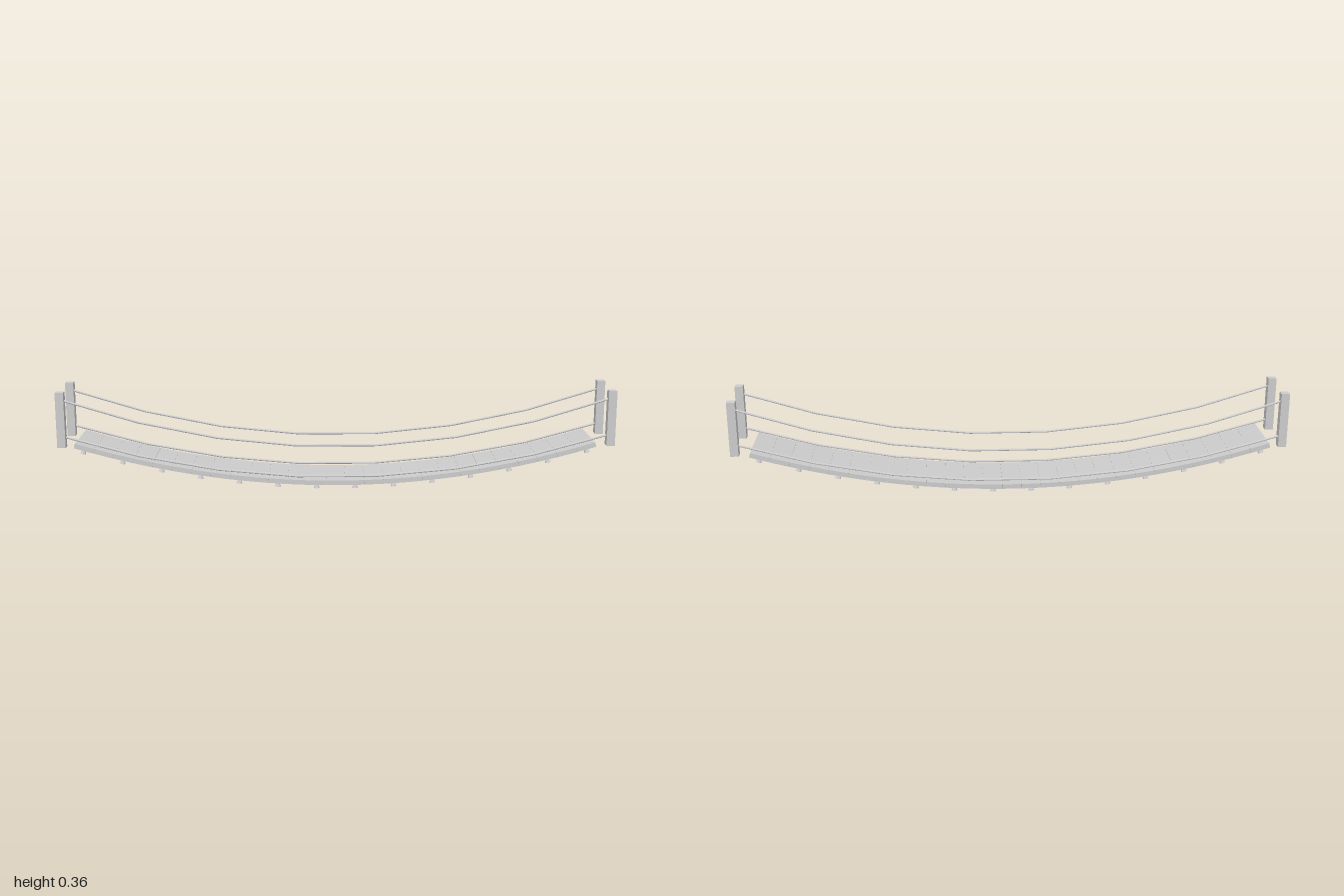
import * as THREE from 'three';

export function createModel() {
  const bridge = new THREE.Group();
  bridge.name = 'ropeBridge';
  const material = new THREE.MeshStandardMaterial({ color: 0xcccccc, flatShading: true });

  const add = (name, geometry, x = 0, y = 0, z = 0, parent = bridge) => {
    const mesh = new THREE.Mesh(geometry, material);
    mesh.name = name;
    mesh.position.set(x, y, z);
    parent.add(mesh);
    return mesh;
  };

  // Sagging rope: a parabola sampled in seven straight stretches
  const ropeGeometry = (endY, lowY) => new THREE.TubeGeometry(
    new THREE.QuadraticBezierCurve3(
      new THREE.Vector3(-0.985, endY, 0),
      new THREE.Vector3(0, 2 * lowY - endY, 0),
      new THREE.Vector3(0.985, endY, 0)),
    7, 0.0042, 8);

  const postGeometry = new THREE.BoxGeometry(0.03, 0.201, 0.03);
  const handRope = ropeGeometry(0.33, 0.156);
  const footRope = ropeGeometry(0.197, 0.042);

  // Posts and ropes on both sides
  for (const z of [0.095, -0.095]) {
    for (const x of [-0.985, 0.985]) add('post', postGeometry, x, 0.2575, z);
    add('handRope', handRope, 0, 0, z);
    add('footRope', footRope, 0, 0, z);
  }

  // Deck planks follow the sag; every other one has a pair of pegs below
  const count = 27, pitch = 0.0693, thickness = 0.017, sag = 0.16;
  const pegGeometry = new THREE.CylinderGeometry(0.005, 0.011, 0.014, 8);
  for (let i = 0; i < count; i++) {
    const x = -0.905 + i * pitch;
    const slope = Math.atan(2 * sag * x);
    const plank = new THREE.Group();
    plank.name = 'plank';
    plank.position.set(x, 0.0235 + sag * x * x, 0);
    plank.rotation.z = slope;
    bridge.add(plank);
    const width = pitch / Math.cos(slope) - 0.0005;
    add('board', new THREE.BoxGeometry(width, thickness, 0.222), 0, 0, -0.001, plank);
    if (i % 2 === 0) {
      for (const z of [0.095, -0.095]) add('peg', pegGeometry, 0, -0.0155, z, plank);
    }
  }
  return bridge;
}
